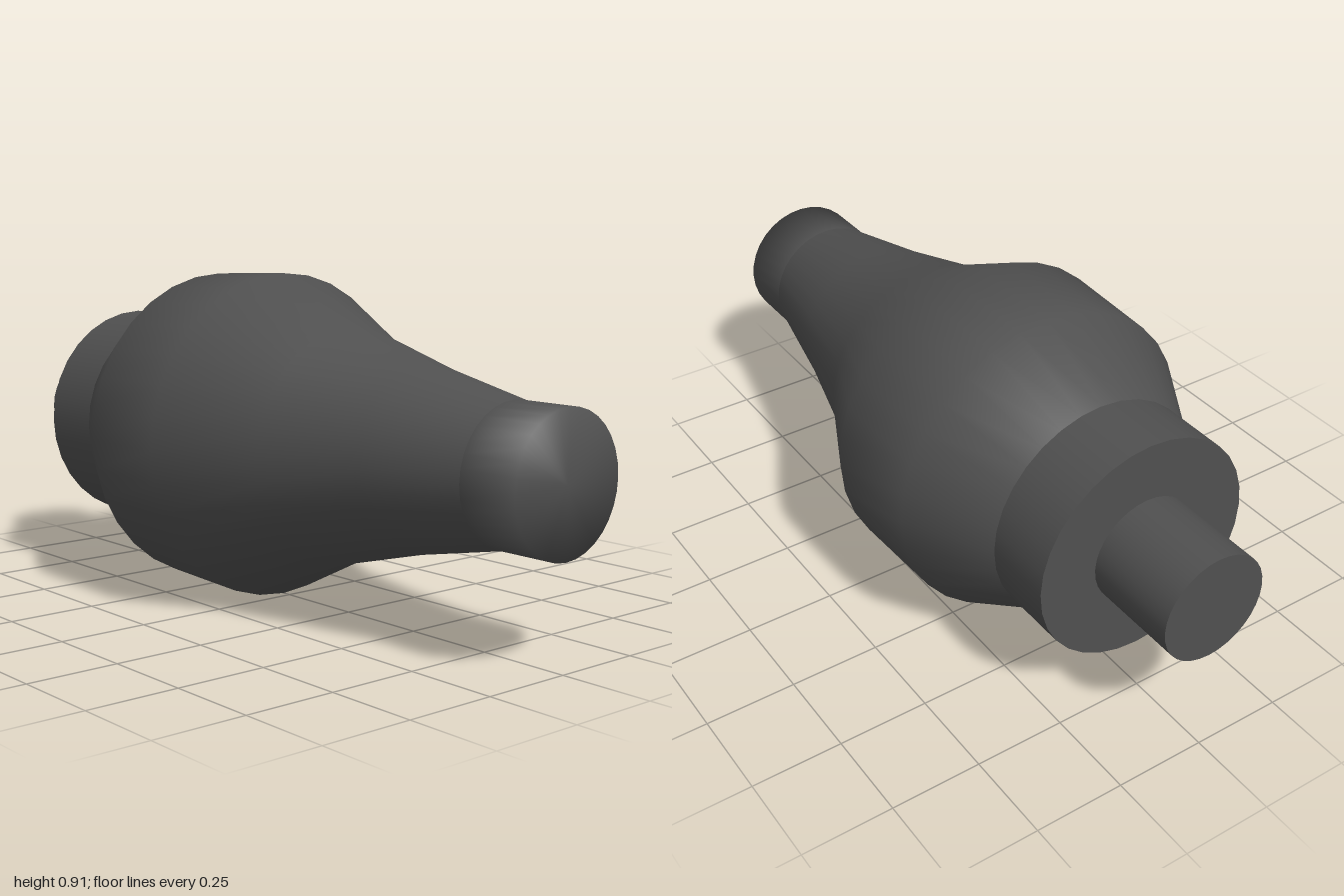
import * as THREE from 'three';

const SIDES = 32;
const AXIS_Y = 0.453;

export function createModel() {
  const group = new THREE.Group();
  group.name = 'turnedHandle';
  const darkGrey = new THREE.MeshStandardMaterial({ name: 'darkGrey', color: 0x505050 });

  // Lay a shape made along y onto the horizontal z axis
  function add(name, geometry, z = 0) {
    geometry.rotateX(Math.PI / 2);
    const mesh = new THREE.Mesh(geometry, darkGrey);
    mesh.name = name;
    mesh.position.set(0, AXIS_Y, z);
    group.add(mesh);
  }
  // Profile points are [radius, z], from back to front
  const turned = (points) =>
    new THREE.LatheGeometry(points.map(([r, z]) => new THREE.Vector2(r, z)), SIDES);
  const rod = (radius, back, front) =>
    add.bind(null)(radius > 0.2 ? 'collar' : 'shaft',
      new THREE.CylinderGeometry(radius, radius, front - back, SIDES), (front + back) / 2);

  // Bulbous body tapering to a slim neck
  add('body', turned([
    [0.313, -0.54], [0.443, -0.315], [0.453, -0.025], [0.32, 0.25], [0.243, 0.54], [0.183, 0.83],
  ]));

  // Softly shaded front tip with a flat end
  add('tip', turned([[0.183, 0.83], [0.183, 1], [0, 1]]));

  // Rear collar and shaft
  rod(0.313, -0.735, -0.54);
  rod(0.15, -1, -0.735);

  return group;
}
